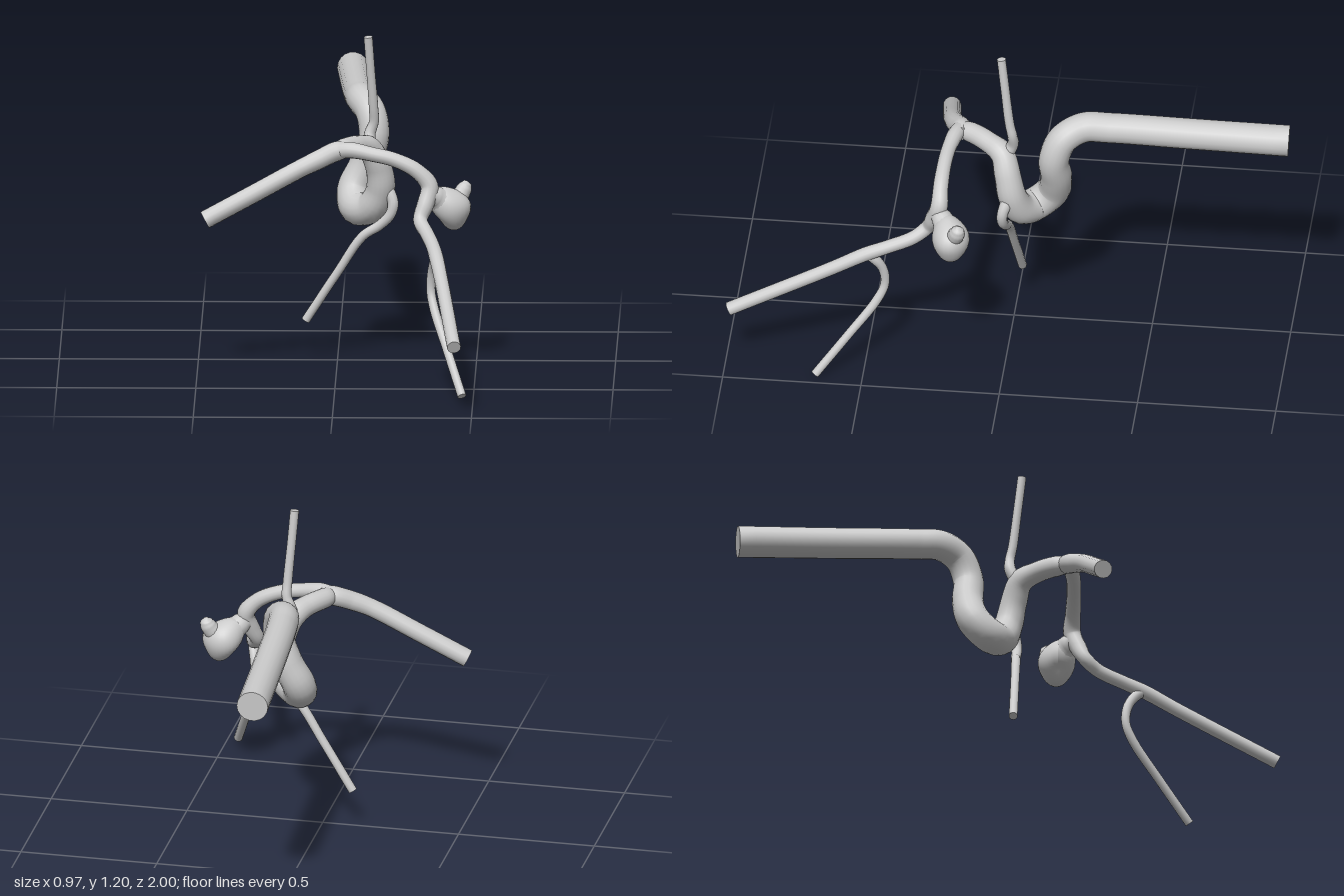
import * as THREE from 'three';

const material = new THREE.MeshStandardMaterial({ color: 0xcccccc, side: THREE.DoubleSide });

// Swept tube through rows of [x, y, z, radius], closed by flat end caps.
function vessel(name, rows, sides = 14, perSpan = 6) {
  const curve = new THREE.CatmullRomCurve3(rows.map(([x, y, z]) => new THREE.Vector3(x, y, z)), false, 'centripetal');
  const steps = (rows.length - 1) * perSpan;
  // Frames are carried along the path so the rings never twist.
  const rings = [];
  let side = null, last = null;
  for (let i = 0; i <= steps; i++) {
    const t = i / steps;
    const dir = curve.getTangent(t);
    if (!side) {
      side = new THREE.Vector3(0.31, 0.2, 0.93).cross(dir);
      if (side.length() < 0.2) side.set(1, 0, 0).cross(dir);
    } else {
      side.applyQuaternion(new THREE.Quaternion().setFromUnitVectors(last, dir));
    }
    side.addScaledVector(dir, -side.dot(dir)).normalize();
    last = dir;
    const k = Math.min(Math.floor(t * (rows.length - 1)), rows.length - 2);
    const f = THREE.MathUtils.smoothstep(t * (rows.length - 1) - k, 0, 1);
    const radius = THREE.MathUtils.lerp(rows[k][3], rows[k + 1][3], f);
    const up = dir.clone().cross(side);
    const centre = curve.getPoint(t);
    const ring = [];
    for (let j = 0; j < sides; j++) {
      const a = (j / sides) * Math.PI * 2;
      ring.push(centre.clone().addScaledVector(side, Math.cos(a) * radius).addScaledVector(up, Math.sin(a) * radius));
    }
    rings.push({ ring, centre });
  }

  const position = [], index = [];
  const push = (p) => position.push(p.x, p.y, p.z) / 3 - 1;
  rings.forEach(({ ring }) => ring.forEach(push));
  for (let i = 0; i < steps; i++) {
    for (let j = 0; j < sides; j++) {
      const a = i * sides + j, b = i * sides + (j + 1) % sides;
      index.push(a, b, a + sides, b, b + sides, a + sides);
    }
  }
  // Caps have their own vertices to keep a sharp rim.
  for (const [{ ring, centre }, atEnd] of [[rings[0], false], [rings[steps], true]]) {
    const c = push(centre);
    ring.forEach(push);
    for (let j = 0; j < sides; j++) {
      const a = c + 1 + j, b = c + 1 + (j + 1) % sides;
      index.push(c, atEnd ? a : b, atEnd ? b : a);
    }
  }
  const geometry = new THREE.BufferGeometry();
  geometry.setAttribute('position', new THREE.Float32BufferAttribute(position, 3));
  geometry.setIndex(index);
  geometry.computeVertexNormals();
  const mesh = new THREE.Mesh(geometry, material);
  mesh.name = name;
  return mesh;
}

// Irregular sac: a sphere pushed out or in along a few directions.
function sac(name, centre, radius, lobes) {
  const geometry = new THREE.SphereGeometry(1, 28, 20);
  const pos = geometry.attributes.position;
  const v = new THREE.Vector3();
  const dirs = lobes.map(([x, y, z, amount]) => ({ d: new THREE.Vector3(x, y, z).normalize(), amount }));
  for (let i = 0; i < pos.count; i++) {
    v.fromBufferAttribute(pos, i).normalize();
    let r = radius;
    for (const { d, amount } of dirs) r += amount * Math.exp(-5 * (1 - v.dot(d)));
    v.multiplyScalar(r);
    pos.setXYZ(i, v.x, v.y, v.z);
  }
  geometry.computeVertexNormals();
  const mesh = new THREE.Mesh(geometry, material);
  mesh.name = name;
  mesh.position.set(...centre);
  return mesh;
}

export function createModel() {
  const model = new THREE.Group();
  model.name = 'branchingVessel';

  model.add(
    // Thick trunk: straight from the back, then an S-bend up to the fork
    vessel('trunk', [
      [0.037, 0.868, -0.998, 0.057], [0.055, 0.885, -0.65, 0.056], [0.073, 0.902, -0.35, 0.055],
      [0.085, 0.905, -0.26, 0.055], [0.118, 0.872, -0.19, 0.055], [0.128, 0.79, -0.158, 0.055],
      [0.095, 0.69, -0.163, 0.057], [0.055, 0.6, -0.145, 0.06], [0.068, 0.547, -0.085, 0.061],
      [0.122, 0.562, -0.04, 0.058], [0.155, 0.635, -0.01, 0.052], [0.147, 0.72, 0.008, 0.048],
      [0.115, 0.788, 0.03, 0.044], [0.075, 0.81, 0.085, 0.038], [0.03, 0.815, 0.15, 0.037],
      [0.01, 0.813, 0.195, 0.03],
    ], 18),
    // Fork, right side: long straight branch
    vessel('rightBranch', [
      [0.05, 0.82, 0.19, 0.026], [0.0, 0.812, 0.19, 0.036], [-0.06, 0.788, 0.215, 0.035],
      [-0.13, 0.757, 0.235, 0.033], [-0.3, 0.667, 0.256, 0.033], [-0.472, 0.576, 0.275, 0.033],
    ]),
    // Fork, left side: arches over, dips past the sac and runs forward
    vessel('leftBranch', [
      [-0.01, 0.812, 0.185, 0.03], [0.05, 0.82, 0.205, 0.029], [0.13, 0.808, 0.222, 0.026],
      [0.21, 0.79, 0.23, 0.026], [0.29, 0.75, 0.234, 0.028], [0.335, 0.695, 0.235, 0.032],
      [0.322, 0.635, 0.255, 0.031], [0.303, 0.58, 0.28, 0.026], [0.325, 0.545, 0.33, 0.025],
      [0.35, 0.515, 0.42, 0.025], [0.365, 0.487, 0.5, 0.026], [0.385, 0.43, 0.62, 0.025],
      [0.437, 0.262, 0.985, 0.025],
    ]),
    // Thin side branch hooking down from the left branch
    vessel('lowerSideBranch', [
      [0.363, 0.49, 0.5, 0.02], [0.358, 0.465, 0.466, 0.019], [0.348, 0.42, 0.438, 0.017],
      [0.344, 0.35, 0.43, 0.016], [0.358, 0.285, 0.458, 0.017], [0.405, 0.16, 0.555, 0.016],
      [0.46, 0.016, 0.67, 0.016],
    ], 12),
    // Thin branch rising from the top of the bend
    vessel('upperThinBranch', [
      [0.115, 0.79, 0.015, 0.025], [0.116, 0.835, -0.008, 0.021], [0.131, 0.88, -0.008, 0.018],
      [0.13, 0.93, 0.002, 0.017], [0.12, 1.07, 0.019, 0.016], [0.111, 1.2, 0.034, 0.016],
    ], 12),
    // Thin branch descending from the outside of the bend
    vessel('lowerThinBranch', [
      [0.175, 0.64, 0.0, 0.025], [0.2, 0.59, 0.02, 0.02], [0.19, 0.545, 0.022, 0.019],
      [0.15, 0.503, 0.015, 0.018], [0.09, 0.462, 0.01, 0.017], [0.0, 0.327, -0.002, 0.016],
      [-0.115, 0.147, -0.018, 0.016],
    ], 12),
    // Bulging sac with its neck and a small rounded bleb
    sac('sac', [0.405, 0.607, 0.185], 0.067, [
      [-0.6, 0.75, 0.35, 0.024], [0.3, -0.9, 0, 0.02], [1, 0.1, 0.1, 0.012], [-0.6, -0.6, 0.1, -0.014],
    ]),
    vessel('sacNeck', [
      [0.332, 0.665, 0.243, 0.03], [0.355, 0.655, 0.222, 0.039], [0.385, 0.63, 0.2, 0.05],
    ]),
    vessel('bleb', [
      [0.42, 0.62, 0.175, 0.035], [0.445, 0.648, 0.164, 0.031], [0.457, 0.668, 0.157, 0.029],
      [0.463, 0.685, 0.153, 0.023], [0.465, 0.696, 0.151, 0.01], [0.466, 0.699, 0.15, 0.001],
    ], 14, 4),
  );
  return model;
}
